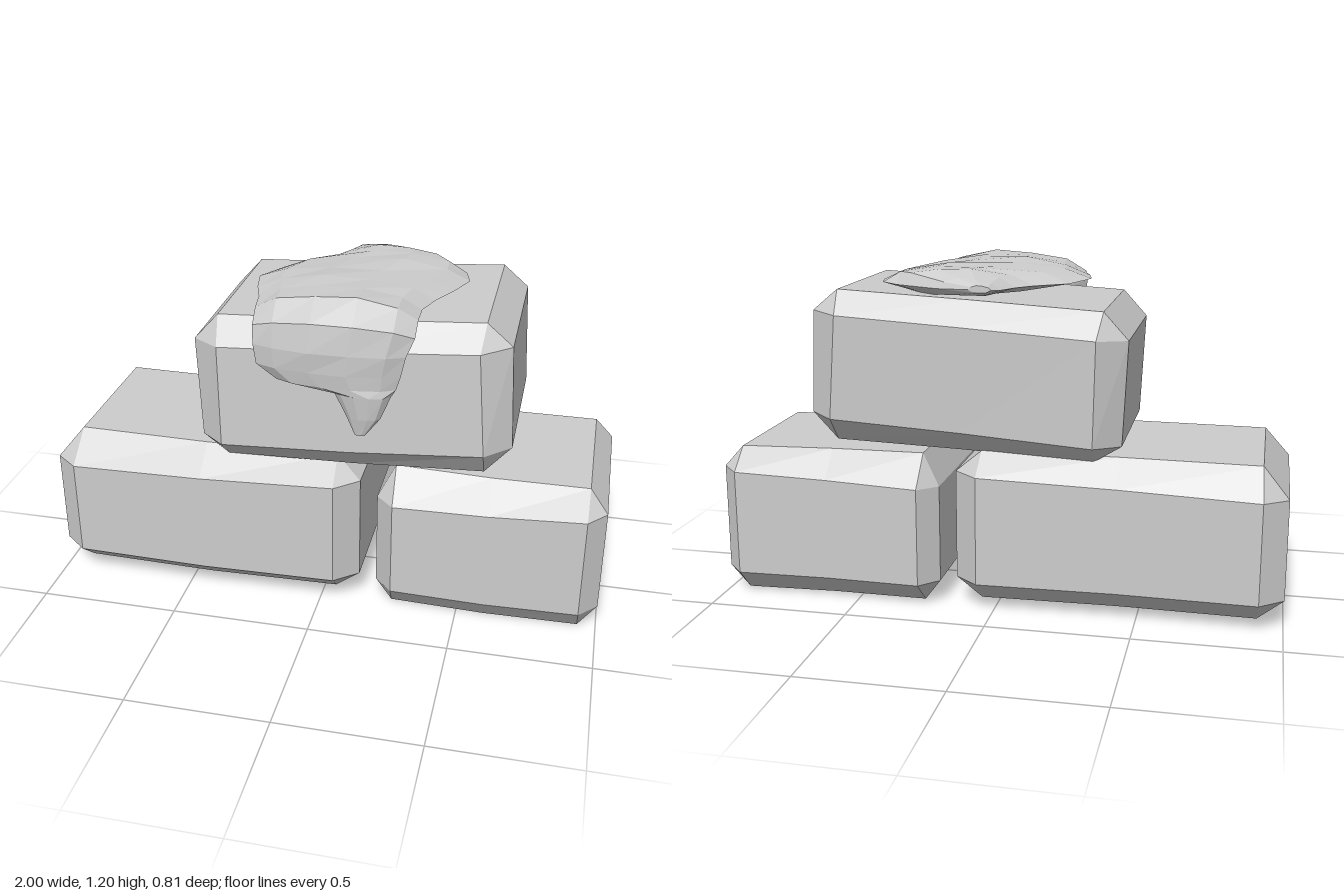
import * as THREE from 'three';

const stone = new THREE.MeshStandardMaterial({ color: 0xcccccc, side: THREE.DoubleSide, flatShading: true });
stone.name = 'pale grey stone';

// Skin a list of equally long rings, optionally closing the first and last
function loft(rings, capStart, capEnd) {
  const pos = [];
  const n = rings[0].length;
  const tri = (a, b, c) => {
    const area = new THREE.Triangle(a, b, c).getArea();
    if (area > 1e-7) for (const p of [a, b, c]) pos.push(p.x, p.y, p.z);
  };
  for (let k = 0; k < rings.length - 1; k++) {
    const a = rings[k], b = rings[k + 1];
    for (let i = 0; i < n; i++) {
      const j = (i + 1) % n;
      tri(a[i], a[j], b[j]);
      tri(a[i], b[j], b[i]);
    }
  }
  const first = rings[0], last = rings[rings.length - 1];
  for (let i = 1; i < n - 1; i++) {
    if (capStart) tri(first[0], first[i + 1], first[i]);
    if (capEnd) tri(last[0], last[i], last[i + 1]);
  }
  const geo = new THREE.BufferGeometry();
  geo.setAttribute('position', new THREE.Float32BufferAttribute(pos, 3));
  geo.computeVertexNormals();
  return geo;
}

// Horizontal outline with cut corners (cut 0 gives a rectangle) and a bowed middle
function outline({ x, y, z, cut = [0, 0], bow }) {
  const [x0, x1] = x, [z0, z1] = z, [cx, cz] = cut, xm = (x0 + x1) / 2;
  const pts = [
    [x0, z1 - cz], [x0 + cx, z1], [xm, z1 + bow], [x1 - cx, z1], [x1, z1 - cz],
    [x1, z0 + cz], [x1 - cx, z0], [xm, z0 + bow], [x0 + cx, z0], [x0, z0 + cz],
  ];
  return pts.map(([px, pz]) =>
    new THREE.Vector3(px, THREE.MathUtils.lerp(y[0], y[1], (px - x0) / (x1 - x0)), pz));
}

// Bevelled block, open underneath; y pairs are heights at its -x and +x ends
const bricks = {
  longLowerBrick: [
    { x: [-0.91, 0.05], y: [0.03, 0.03], z: [-0.31, 0.25], bow: 0.012 },
    { x: [-1, 0.14], y: [0.105, 0.105], z: [-0.39, 0.335], cut: [0.085, 0.07], bow: 0.012 },
    { x: [-1, 0.14], y: [0.46, 0.495], z: [-0.39, 0.335], cut: [0.085, 0.07], bow: 0.012 },
    { x: [-0.91, 0.05], y: [0.57, 0.57], z: [-0.31, 0.225], bow: 0.012 },
  ],
  shortLowerBrick: [
    { x: [0.26, 0.935], y: [0.005, 0], z: [-0.31, 0.26], bow: 0.01 },
    { x: [0.2, 1], y: [0.085, 0.085], z: [-0.395, 0.325], cut: [0.065, 0.07], bow: 0.01 },
    { x: [0.2, 1], y: [0.435, 0.465], z: [-0.395, 0.325], cut: [0.065, 0.07], bow: 0.01 },
    { x: [0.26, 0.935], y: [0.55, 0.54], z: [-0.31, 0.22], bow: 0.01 },
  ],
  upperBrick: [
    { x: [-0.34, 0.57], y: [0.55, 0.585], z: [-0.31, 0.26], bow: 0.01 },
    { x: [-0.437, 0.66], y: [0.61, 0.68], z: [-0.39, 0.325], cut: [0.09, 0.08], bow: 0.012 },
    { x: [-0.455, 0.64], y: [0.975, 1.045], z: [-0.4, 0.31], cut: [0.1, 0.075], bow: 0.01 },
    { x: [-0.37, 0.55], y: [1.07, 1.12], z: [-0.33, 0.23], bow: 0.01 },
  ],
};

// Draped cap rows: left x, right x, y, z, tilt of its surface, outer and inner thickness
const drapeRows = [
  [0.0, 0.08, 1.135, -0.365, 0, 0.015, 0.01],
  [-0.02, 0.2, 1.13, -0.325, 0, 0.04, 0.02],
  [-0.06, 0.36, 1.13, -0.25, 0, 0.065, 0.03],
  [-0.11, 0.43, 1.13, -0.19, 0, 0.065, 0.03],
  [-0.22, 0.45, 1.13, -0.11, 0, 0.065, 0.03],
  [-0.28, 0.41, 1.135, 0.01, 0, 0.06, 0.03],
  [-0.26, 0.36, 1.135, 0.11, 0, 0.065, 0.03],
  [-0.23, 0.33, 1.135, 0.2, 0, 0.065, 0.03],
  [-0.22, 0.33, 1.13, 0.28, 0.3, 0.075, 0.04],
  [-0.215, 0.33, 1.09, 0.34, 0.9, 0.075, 0.05],
  [-0.21, 0.305, 1.03, 0.36, 1.5, 0.05, 0.05],
  [-0.2, 0.29, 0.96, 0.36, 1.57, 0.045, 0.04],
  [-0.13, 0.275, 0.91, 0.36, 1.57, 0.04, 0.03],
  [0.065, 0.26, 0.885, 0.36, 1.57, 0.04, 0.02],
  [0.11, 0.225, 0.8, 0.365, 1.57, 0.025, 0.015],
  [0.14, 0.175, 0.735, 0.37, 1.57, 0.006, 0.006],
];
// Section points: position across, height (positive outward, negative inward)
const section = [[1, 0], [0.88, 0.65], [0.64, 1], [0.38, 0.96], [0.14, 0.6], [0, 0], [0.25, -1], [0.75, -1]];

function drapeRing([x0, x1, y, z, tilt, outer, inner], k) {
  return section.map(([u, h], i) => {
    const wobble = 1 - 0.12 * Math.abs(Math.sin(k * 2.3 + i * 1.7));
    const d = h > 0 ? h * outer * wobble : h * inner;
    return new THREE.Vector3(x0 + (x1 - x0) * u, y + d * Math.cos(tilt), z + d * Math.sin(tilt));
  });
}

export function createModel() {
  const group = new THREE.Group();
  const add = (name, geometry) => {
    const mesh = new THREE.Mesh(geometry, stone);
    mesh.name = name;
    group.add(mesh);
  };
  for (const [name, rings] of Object.entries(bricks)) add(name, loft(rings.map(outline), false, true));
  add('drapedCap', loft(drapeRows.map(drapeRing), true, true));
  return group;
}
